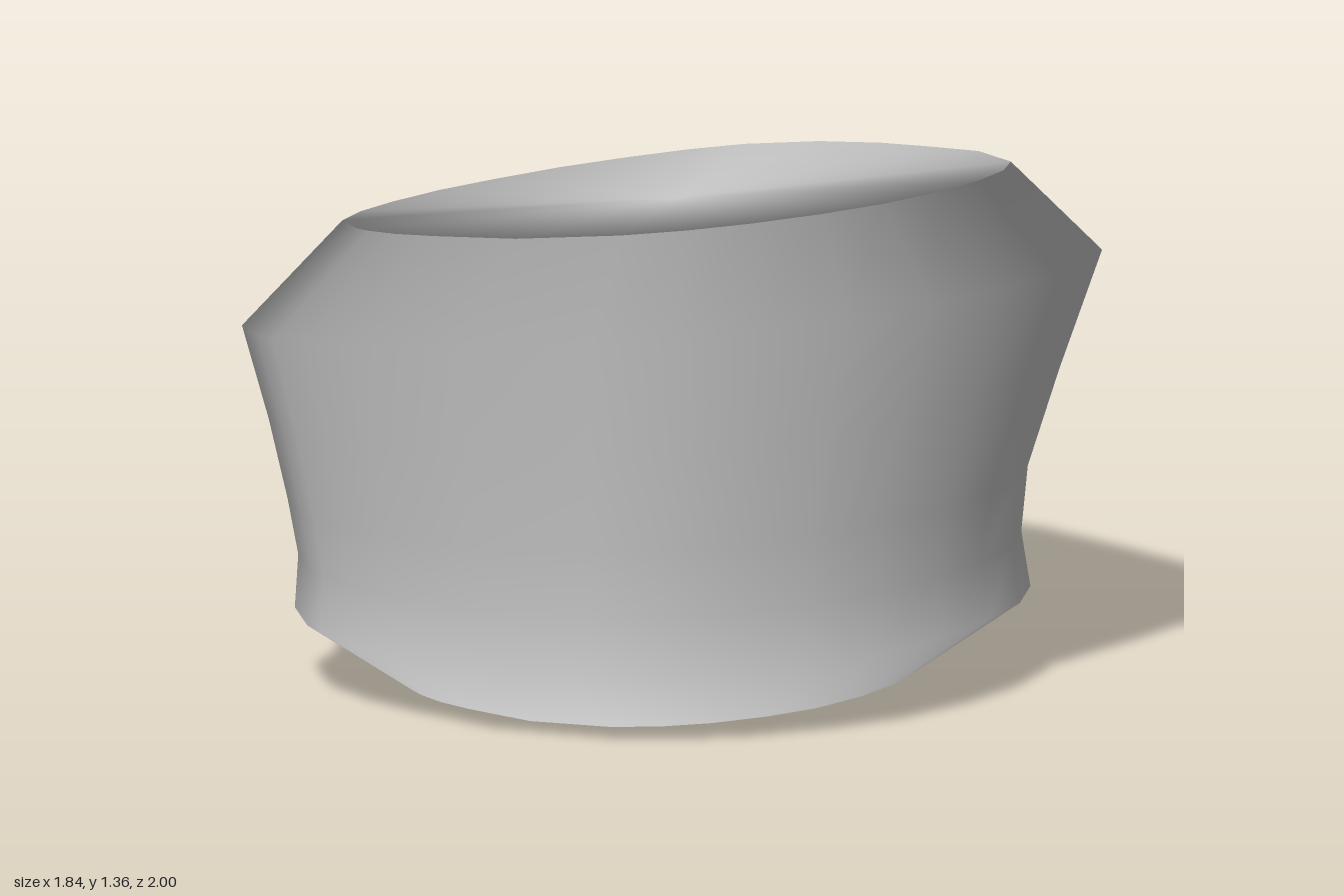
import * as THREE from 'three';

// Widest outline of the body, as x, z pairs running back > left > front > right
const OUTLINE = [
  [0.27, -1], [0.58, -0.89], [0.72, -0.75], [0.82, -0.57], [0.89, -0.35], [0.92, -0.1], [0.89, 0.14],
  [0.82, 0.37], [0.72, 0.56], [0.58, 0.72], [0.27, 0.91], [-0.07, 0.98], [-0.25, 1], [-0.4, 0.99],
  [-0.49, 0.97], [-0.69, 0.87], [-0.79, 0.72], [-0.86, 0.53], [-0.91, 0.3], [-0.92, 0.06],
  [-0.91, -0.2], [-0.86, -0.43], [-0.79, -0.63], [-0.69, -0.79], [-0.48, -0.93], [-0.23, -0.99], [0, -1],
];

// Cross-sections from bottom to top: x range, z range, height, tilt of the height along x and z,
// and the vertical part of the smooth normal (the two end caps are wound inwards)
const RINGS = [
  { x: [-0.03, -0.03], z: [0.02, 0.02], y: 0.018, tx: 0.005, tz: -0.025, ny: 1 }, // underside centre
  { x: [-0.57, 0.51], z: [-0.59, 0.63], y: 0.018, tx: 0.005, tz: -0.025, ny: 0.3 }, // underside rim
  { x: [-0.79, 0.75], z: [-0.845, 0.885], y: 0.205, tx: 0.005, tz: -0.022, ny: 0.08 }, // lower flare
  { x: [-0.785, 0.755], z: [-0.81, 0.875], y: 0.35, tx: 0.02, tz: -0.02, ny: -0.08 }, // waist
  { x: [-0.805, 0.78], z: [-0.82, 0.9], y: 0.51, tx: 0.05, tz: -0.015, ny: -0.15 },
  { x: [-0.855, 0.835], z: [-0.9, 0.94], y: 0.74, tx: 0.09, tz: -0.01, ny: -0.17 },
  { x: [-0.92, 0.92], z: [-1, 1], y: 1.015, tx: 0.14, tz: -0.005, ny: -0.18 }, // widest line
  { x: [-0.77, 0.7], z: [-0.8, 0.73], y: 1.26, tx: 0.143, tz: -0.006, ny: -0.22 }, // top rim
  { x: [-0.03, -0.03], z: [0, 0], y: 1.25, tx: 0.143, tz: 0, ny: -1 }, // top centre
];

function loft(rings) {
  const position = [];
  const normal = [];
  const index = [];
  const n = OUTLINE.length;
  for (const r of rings) {
    OUTLINE.forEach(([ox, oz], j) => {
      const x = THREE.MathUtils.mapLinear(ox, -0.92, 0.92, r.x[0], r.x[1]);
      const z = THREE.MathUtils.mapLinear(oz, -1, 1, r.z[0], r.z[1]);
      position.push(x, Math.max(0, r.y + r.tx * x + r.tz * z), z);
      // outward direction of the outline, leaned up or down by the ring
      const [px, pz] = OUTLINE[(j + n - 1) % n];
      const [qx, qz] = OUTLINE[(j + 1) % n];
      const out = new THREE.Vector3(qz - pz, 0, px - qx).setLength(Math.sqrt(1 - r.ny * r.ny));
      normal.push(out.x, r.ny, out.z);
    });
  }
  const last = rings.length - 2;
  for (let i = 0; i <= last; i++) {
    for (let j = 0; j < n; j++) {
      const a = i * n + j;
      const b = i * n + ((j + 1) % n);
      // the caps are fans that meet at a point
      if (i === 0) index.push(a, b + n, a + n);
      else if (i === last) index.push(a, b, a + n);
      else index.push(a, a + n, b, b, a + n, b + n);
    }
  }
  const geometry = new THREE.BufferGeometry();
  geometry.setAttribute('position', new THREE.Float32BufferAttribute(position, 3));
  geometry.setAttribute('normal', new THREE.Float32BufferAttribute(normal, 3));
  geometry.setIndex(index);
  return geometry;
}

export function createModel() {
  const group = new THREE.Group();
  group.name = 'waistedBlock';
  const material = new THREE.MeshStandardMaterial({ color: 0xcccccc, side: THREE.DoubleSide });
  const body = new THREE.Mesh(loft(RINGS), material);
  body.name = 'body';
  group.add(body);
  return group;
}
